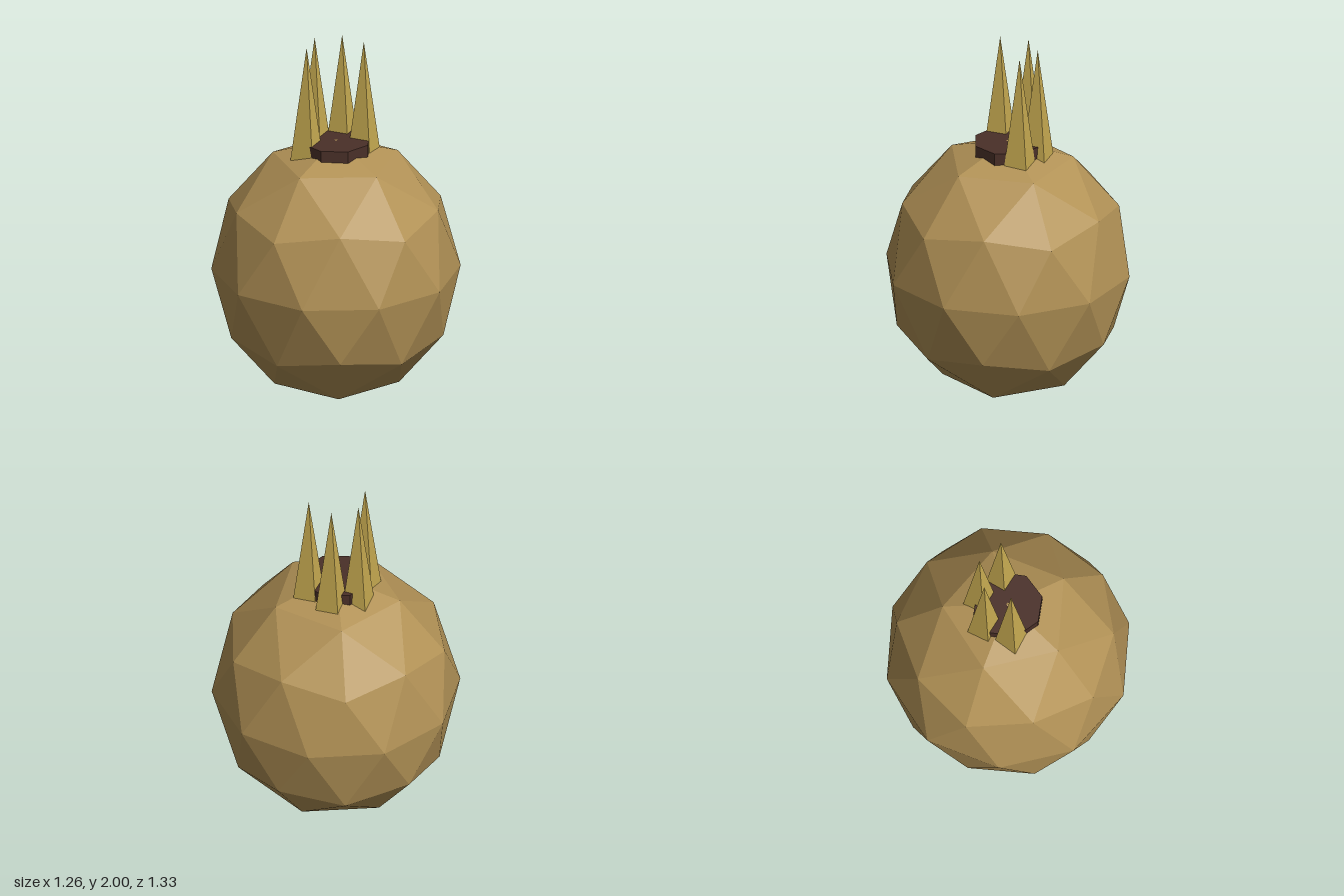
import * as THREE from 'three';

const paint = (name, color) => {
  const material = new THREE.MeshStandardMaterial({ color, flatShading: true });
  material.name = name;
  return material;
};

export function createModel() {
  const model = new THREE.Group();
  const skin = paint('tan skin', 0xb29256);
  const dark = paint('dark brown', 0x4a3028);
  const leaf = paint('straw yellow', 0xc4a850);

  const add = (name, geometry, material, x, y, z) => {
    const mesh = new THREE.Mesh(geometry, material);
    mesh.name = name;
    mesh.position.set(x, y, z);
    model.add(mesh);
  };

  // Faceted bulb: icosphere turned so that one corner points straight up
  const bulb = new THREE.IcosahedronGeometry(1, 1);
  bulb.rotateZ(-Math.atan(2 / (1 + Math.sqrt(5))));
  bulb.scale(0.665, 0.731, 0.665);
  add('body', bulb, skin, 0, 0.732, 0);

  // Eight-sided cap, just pierced by the tip of the bulb
  add('cap', new THREE.CylinderGeometry(0.188, 0.188, 0.07, 8), dark, 0, 1.425, 0);

  // Four pointed sprouts around the back of the cap, rooted in the bulb
  const spike = new THREE.ConeGeometry(0.102, 0.7, 4);
  [[-0.159, -0.022], [-0.067, -0.147], [0.085, -0.136], [0.158, 0]].forEach(([x, z]) =>
    add('sprout', spike, leaf, x, 1.65, z));

  return model;
}
